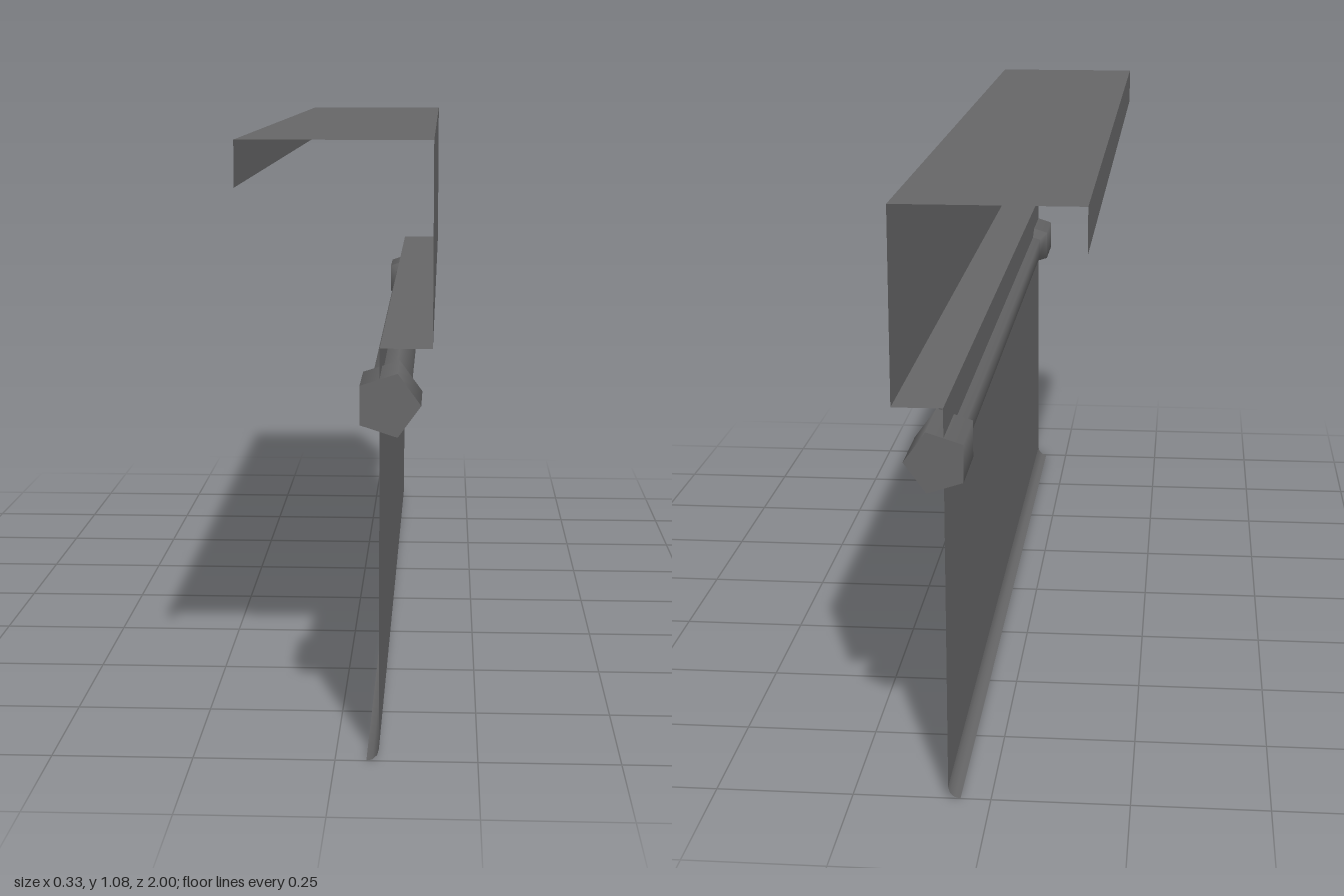
import * as THREE from 'three';

const HALF = 1; // half of the length along z

// Thin sheet: a cross-section of [x, y] points swept along z, smooth between its points
function sheet(profile) {
  const positions = [];
  const index = [];
  profile.forEach(([x, y], i) => {
    positions.push(x, y, HALF, x, y, -HALF);
    if (i > 0) {
      const a = 2 * (i - 1);
      index.push(a, a + 2, a + 3, a, a + 3, a + 1);
    }
  });
  const geometry = new THREE.BufferGeometry();
  geometry.setAttribute('position', new THREE.Float32BufferAttribute(positions, 3));
  geometry.setIndex(index);
  geometry.computeVertexNormals();
  return geometry;
}

export function createModel() {
  const model = new THREE.Group();
  model.name = 'screenPanel';

  const darkGrey = new THREE.MeshStandardMaterial({ color: 0x656566, side: THREE.DoubleSide });
  darkGrey.name = 'darkGrey';

  const add = (name, geometry, parent = model) => {
    const mesh = new THREE.Mesh(geometry, darkGrey);
    mesh.name = name;
    parent.add(mesh);
    return mesh;
  };

  // Folded sheet, one flat panel per fold
  add('backLip', sheet([[-0.167, 1.0], [-0.167, 1.08]]));
  add('topPanel', sheet([[0.167, 1.08], [-0.167, 1.08]]));
  add('upperPanel', sheet([[0.167, 0.73], [0.167, 1.08]]));
  add('shelf', sheet([[0.077, 0.73], [0.167, 0.73]]));
  add('lowerPanel', sheet([[0.077, 0.022], [0.077, 0.73]]));

  // Rounded hem curling under the lower panel
  add('bottomHem', sheet([[0.055, 0], [0.066, 0.003], [0.074, 0.011], [0.077, 0.022]]));

  // Five-sided rail with thicker ends
  const rail = new THREE.Group();
  rail.name = 'rail';
  rail.position.set(0.09, 0.632, 0);
  model.add(rail);

  const thick = 0.058;
  const thin = 0.0385;
  const steps = [[thick, -HALF], [thick, -0.856], [thin, -0.818], [thin, 0.818], [thick, 0.856], [thick, HALF]];
  for (let i = 0; i < steps.length - 1; i++) {
    const points = [steps[i], steps[i + 1]].map(([r, h]) => new THREE.Vector2(r, h));
    const geometry = new THREE.LatheGeometry(points, 5).rotateY(Math.PI / 2).rotateX(Math.PI / 2);
    add(['backGrip', 'backTaper', 'bar', 'frontTaper', 'frontGrip'][i], geometry, rail);
  }

  // Flat end caps
  add('frontCap', new THREE.CircleGeometry(thick, 5).translate(0, 0, HALF), rail);
  add('backCap', new THREE.CircleGeometry(thick, 5).rotateX(Math.PI).translate(0, 0, -HALF), rail);

  return model;
}
